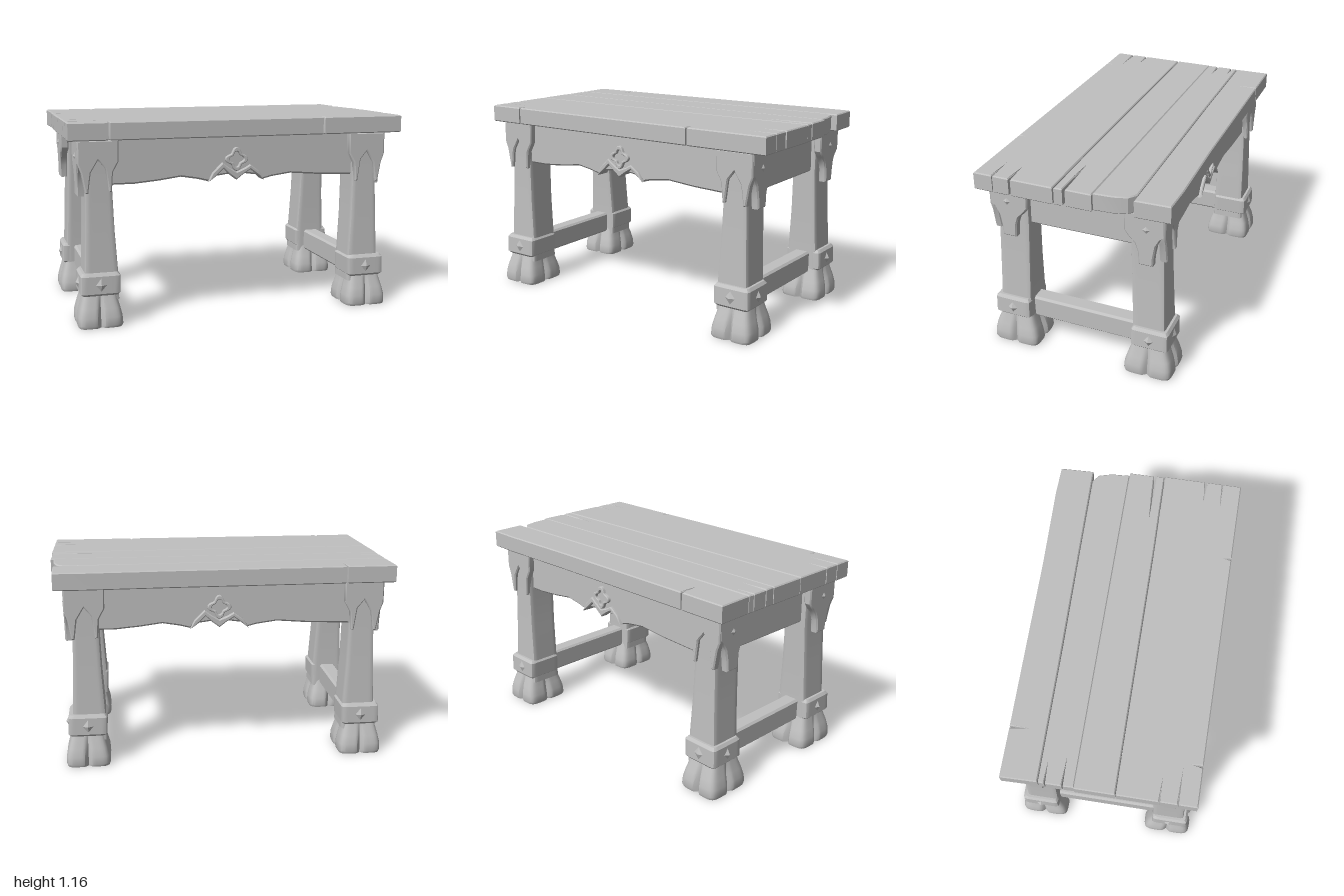
import * as THREE from 'three';
import { toCreasedNormals } from 'three/addons/utils/BufferGeometryUtils.js';

const gray = new THREE.MeshStandardMaterial({ color: 0xc0c0c0 });
gray.name = 'plain gray';

function add(parent, name, geo, x = 0, y = 0, z = 0) {
  const m = new THREE.Mesh(toCreasedNormals(geo, 0.6), gray);
  m.name = name;
  m.position.set(x, y, z);
  parent.add(m);
  return m;
}

// Bevelled slab with the given outline, centred on its thickness
function slab(pts, thick, bevel = 0.008, hole) {
  const shape = new THREE.Shape(pts.map(p => new THREE.Vector2(p[0], p[1])));
  if (hole) shape.holes.push(new THREE.Path(hole.map(p => new THREE.Vector2(p[0], p[1]))));
  const g = new THREE.ExtrudeGeometry(shape, {
    depth: thick - 2 * bevel, bevelEnabled: true, bevelSize: bevel,
    bevelThickness: bevel, bevelOffset: -bevel, bevelSegments: 1,
  });
  return g.translate(0, 0, -(thick - 2 * bevel) / 2);
}

// Loft of soft-cornered rings: [y, x0, x1, z0, z1, depth of the groove down each side]
function loft(rings, power, n = 72) {
  const pos = [], idx = [];
  for (const [y, x0, x1, z0, z1, groove = 0] of rings) {
    for (let i = 0; i < n; i++) {
      const a = i / n * Math.PI * 2, c = Math.cos(a), s = Math.sin(a);
      const q = Math.PI / 2, d = a - Math.round(a / q) * q;
      const r = (1 - groove * Math.exp(-((d / 0.11) ** 2))) /
        (Math.abs(c) ** power + Math.abs(s) ** power) ** (1 / power);
      pos.push((x0 + x1) / 2 + r * c * (x1 - x0) / 2, y, (z0 + z1) / 2 + r * s * (z1 - z0) / 2);
    }
  }
  const last = rings.length - 1, base = pos.length / 3;
  for (const r of [rings[0], rings[last]]) pos.push((r[1] + r[2]) / 2, r[0], (r[3] + r[4]) / 2);
  for (let i = 0; i < n; i++) {
    const j = (i + 1) % n;
    for (let r = 0; r < last; r++) {
      const a = r * n + i, b = r * n + j;
      idx.push(a, a + n, b, b, a + n, b + n);
    }
    idx.push(base, i, j, base + 1, last * n + j, last * n + i);
  }
  const g = new THREE.BufferGeometry();
  g.setAttribute('position', new THREE.Float32BufferAttribute(pos, 3));
  g.setIndex(idx);
  return g;
}

// Table top: worn planks with split ends, outlines in x and z
function buildTop(parent) {
  const planks = {
    backPlank: [[-0.997, -0.55], [-0.715, -0.55], [-0.705, -0.44], [-0.705, -0.55], [0.3, -0.556],
      [0.78, -0.568], [0.957, -0.564], [0.964, -0.365], [0.5, -0.358], [-0.3, -0.346], [-0.992, -0.341]],
    roundedPlank: [[-0.992, -0.337], [-0.2, -0.343], [0.4, -0.353], [0.9, -0.36], [0.945, -0.325],
      [0.965, -0.25], [0.972, -0.141], [-0.992, -0.139], [-0.994, -0.2], [-0.84, -0.204], [-0.994, -0.207],
      [-0.994, -0.297], [-0.88, -0.302], [-0.994, -0.304]],
    middlePlank: [[-0.997, -0.141], [0.99, -0.141], [0.99, 0.009], [0.85, 0.015], [0.7, 0.02],
      [0.85, 0.023], [0.992, 0.024], [0.994, 0.072], [0.5, 0.08], [-0.997, 0.086]],
    frontPlank: [[-0.997, 0.09], [0.3, 0.086], [0.997, 0.079], [0.997, 0.325], [0.86, 0.332],
      [0.997, 0.338], [0.997, 0.432], [0.84, 0.434], [0.997, 0.437], [0.997, 0.547],
      [0.505, 0.545], [0.496, 0.5], [0.493, 0.545], [-0.764, 0.538], [-0.768, 0.48], [-0.774, 0.538],
      [-0.997, 0.538], [-0.997, 0.433], [-0.8, 0.43], [-0.997, 0.427], [-0.997, 0.332],
      [-0.87, 0.328], [-0.997, 0.325]],
  };
  for (const [name, pts] of Object.entries(planks))
    add(parent, name, slab(pts, 0.102, 0.006).rotateX(Math.PI / 2), 0, 1.111, 0);
}

// Leg with paw foot, cuff, studs and bracket plates
function buildLeg(parent, sx, sz) {
  const leg = new THREE.Group();
  leg.name = (sz > 0 ? 'front' : 'back') + (sx > 0 ? 'Left' : 'Right') + 'Leg';
  // The left pair stands further in, the right pair slightly closer together
  leg.position.set(sx > 0 ? -0.037 : 0, 0, sx > 0 ? 0 : -0.015 * sz);
  parent.add(leg);
  const ring = (y, xi, xo, zi, zo, groove) => {
    const xs = [sx * xi, sx * xo].sort((a, b) => a - b);
    const zs = [sz * zi, sz * zo].sort((a, b) => a - b);
    return [y, ...xs, ...zs, groove];
  };
  add(leg, 'legPost', loft([
    ring(0.15, 0.725, 0.925, 0.315, 0.52), ring(0.32, 0.728, 0.918, 0.318, 0.513),
    ring(0.55, 0.742, 0.908, 0.313, 0.506), ring(0.8, 0.75, 0.9, 0.305, 0.498),
    ring(1.07, 0.745, 0.905, 0.3, 0.5)], 14));
  add(leg, 'pawFoot', loft([
    ring(0, 0.712, 0.962, 0.278, 0.56, 0.16), ring(0.015, 0.707, 0.966, 0.273, 0.566, 0.19),
    ring(0.06, 0.71, 0.964, 0.277, 0.562, 0.2), ring(0.11, 0.722, 0.952, 0.291, 0.551, 0.17),
    ring(0.16, 0.735, 0.938, 0.308, 0.532, 0.1), ring(0.2, 0.74, 0.93, 0.318, 0.522, 0.03)], 7));
  add(leg, 'cuff', loft([
    ring(0.182, 0.735, 0.935, 0.33, 0.53), ring(0.195, 0.722, 0.948, 0.317, 0.542),
    ring(0.295, 0.718, 0.945, 0.318, 0.54), ring(0.312, 0.732, 0.932, 0.33, 0.527)], 14));

  // Diamond studs
  const stud = new THREE.OctahedronGeometry(1);
  add(leg, 'frontStud', stud.clone().scale(0.033, 0.04, 0.015), sx * 0.832, 0.245, sz * 0.54);
  add(leg, 'sideStud', stud.clone().scale(0.018, 0.036, 0.03), sx * 0.945, 0.243, sz * 0.428);
  add(leg, 'bracketStud', stud.clone().scale(0.012, 0.028, 0.028), sx * 0.942, 0.965, sz * 0.41);

  // Side bracket: broad head tapering to a tongue
  const side = [[0.515, 1.06], [0.515, 0.935], [0.49, 0.915], [0.465, 0.87], [0.452, 0.8], [0.448, 0.742],
    [0.367, 0.742], [0.362, 0.82], [0.345, 0.87], [0.31, 0.905], [0.285, 0.94], [0.283, 1.06]];
  add(leg, 'sideBracket', slab(side.map(p => [sz * p[0], p[1]]), 0.05).rotateY(-Math.PI / 2), sx * 0.92);

  // Front bracket: two prongs around a pointed arch
  const front = [[0.944, 1.06], [0.944, 0.93], [0.925, 0.88], [0.905, 0.765], [0.888, 0.765], [0.872, 0.88],
    [0.83, 0.95], [0.79, 0.9], [0.772, 0.77], [0.756, 0.77], [0.748, 0.88], [0.715, 0.94], [0.712, 1.06]];
  add(leg, 'frontBracket', slab(front.map(p => [sx * p[0], p[1]]), 0.045, 0.007), 0, 0, sz * 0.496);
}

// Long rail with a carved emblem, facing +z
function buildApron(parent, name) {
  const apron = new THREE.Group();
  apron.name = name;
  parent.add(apron);
  const outline = [[-0.76, 1.07], [-0.76, 0.803], [-0.62, 0.803], [-0.48, 0.815], [-0.35, 0.832],
    [-0.25, 0.815], [-0.185, 0.798], [-0.165, 0.825], [-0.06, 0.838], [-0.02, 0.812], [0.03, 0.838],
    [0.12, 0.825], [0.145, 0.798], [0.2, 0.812], [0.32, 0.828], [0.5, 0.813], [0.76, 0.803], [0.76, 1.07]];
  add(apron, 'rail', slab(outline, 0.08, 0.01), 0, 0, 0.425);
  // Pair of gables below the emblem
  const gables = [[-0.19, 0.797], [-0.165, 0.85], [-0.105, 0.908], [-0.07, 0.88], [-0.02, 0.85],
    [0.03, 0.87], [0.065, 0.89], [0.12, 0.85], [0.15, 0.797], [0.115, 0.825], [0.065, 0.862],
    [0.02, 0.835], [-0.02, 0.805], [-0.06, 0.835], [-0.1, 0.872], [-0.15, 0.825]];
  add(apron, 'gableTrim', slab(gables, 0.05, 0.006), 0, 0, 0.458);
  // Four-lobed ring
  const lobes = k => Array.from({ length: 48 }, (_, i) => {
    const a = i / 48 * Math.PI * 2, r = k * (0.052 + 0.011 * Math.cos(4 * a));
    return [r * Math.cos(a) - 0.02, r * Math.sin(a) + 0.925];
  });
  add(apron, 'fourLobedRing', slab(lobes(1.1), 0.05, 0.004, lobes(0.72)), 0, 0, 0.46);
  return apron;
}

// Rails joining front and back legs
function buildSideRails(parent, sx) {
  const x = sx > 0 ? 0.79 : -0.825;
  const upper = [[-0.34, 1.07], [-0.34, 0.812], [0.34, 0.808], [0.34, 1.07]];
  const lower = [[-0.36, 0.298], [-0.36, 0.162], [0.36, 0.164], [0.36, 0.3]];
  add(parent, 'upperSideRail', slab(upper, 0.09, 0.01).rotateY(-Math.PI / 2), x);
  add(parent, 'stretcher', slab(lower, 0.1, 0.012).rotateY(-Math.PI / 2), x);
}

export function createModel() {
  const table = new THREE.Group();
  table.name = 'table';
  buildTop(table);
  for (const sx of [-1, 1]) {
    for (const sz of [-1, 1]) buildLeg(table, sx, sz);
    buildSideRails(table, sx);
  }
  buildApron(table, 'frontApron');
  buildApron(table, 'backApron').rotation.y = Math.PI;
  return table;
}
